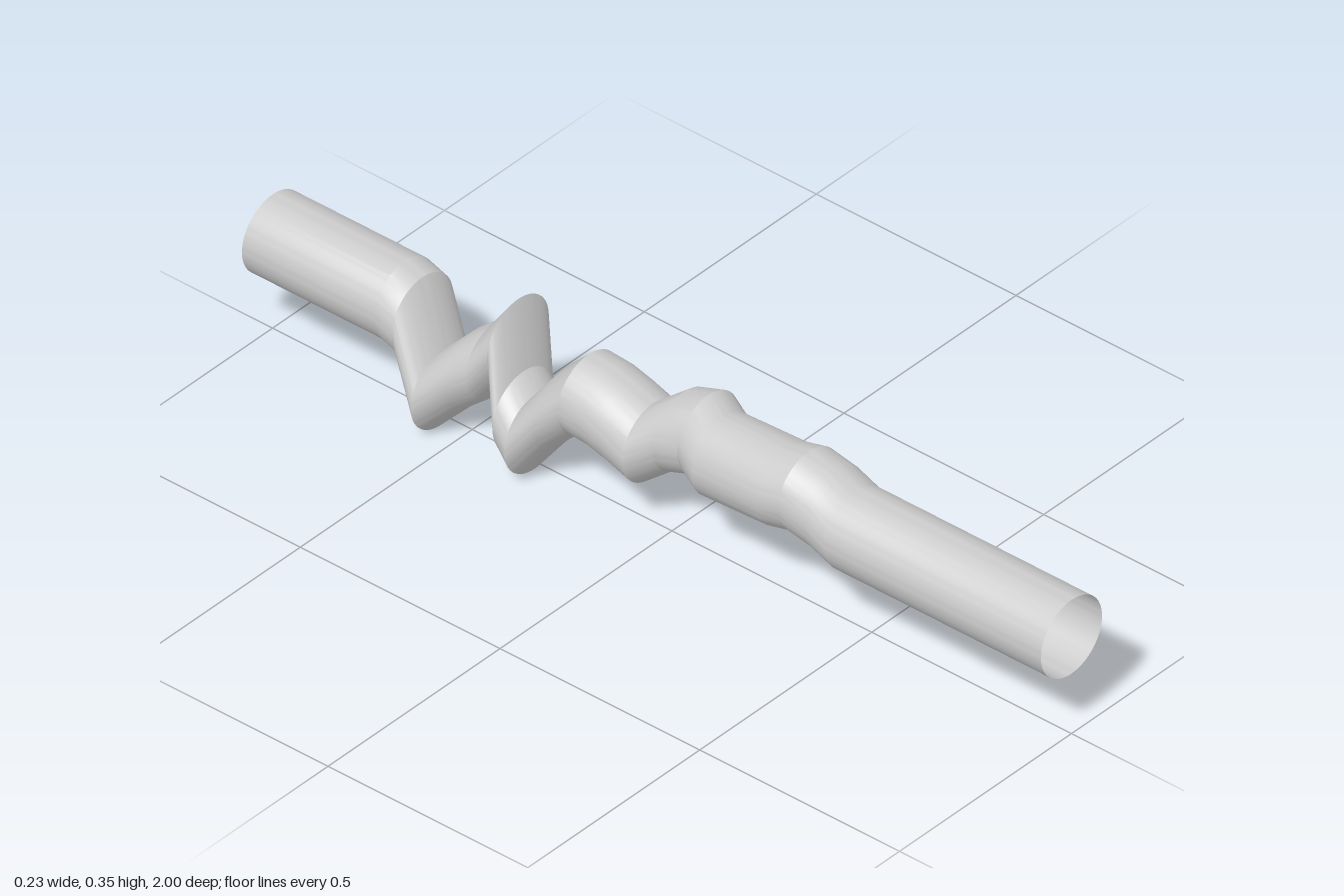
import * as THREE from 'three';
import { toCreasedNormals } from 'three/addons/utils/BufferGeometryUtils.js';

// Ring centres along the pipe: [z, x, y]
const PATH = [
  [1, 0, 0.231], [0.46, 0, 0.231], [0.4, 0.006, 0.248], [0.342, 0, 0.266],
  [0.29, -0.003, 0.255], [0.123, 0.002, 0.243], [0.07, 0.023, 0.256],
  [0.01, 0.021, 0.236], [-0.048, 0, 0.193], [-0.107, 0, 0.214],
  [-0.155, 0, 0.227], [-0.21, 0, 0.231], [-0.262, -0.006, 0.179],
  [-0.32, -0.027, 0.099], [-0.36, -0.015, 0.128], [-0.405, 0.023, 0.256],
  [-0.45, 0.01, 0.189], [-0.49, -0.002, 0.158], [-0.555, -0.026, 0.09],
  [-0.625, 0, 0.215], [-0.67, 0, 0.231], [-1, 0, 0.231],
];
const RX = 0.089, RY = 0.0865, SIDES = 64;

// Upright rings joined into an open tube, sheared rather than bent at each kink
function ringTube(path) {
  const position = [], index = [];
  for (const [z, x, y] of path) {
    for (let i = 0; i < SIDES; i++) {
      const a = (i / SIDES) * Math.PI * 2;
      position.push(x + RX * Math.cos(a), y + RY * Math.sin(a), z);
    }
  }
  for (let r = 0; r < path.length - 1; r++) {
    for (let i = 0; i < SIDES; i++) {
      const j = (i + 1) % SIDES;
      const a = r * SIDES + i, b = r * SIDES + j;
      const c = a + SIDES, d = b + SIDES;
      index.push(a, c, b, b, c, d);
    }
  }
  const geometry = new THREE.BufferGeometry();
  geometry.setAttribute('position', new THREE.Float32BufferAttribute(position, 3));
  geometry.setIndex(index);
  return toCreasedNormals(geometry, 0.3);
}

export function createModel() {
  const group = new THREE.Group();
  group.name = 'crumpledPipe';

  // Thin open wall, visible inside and out
  const material = new THREE.MeshStandardMaterial({ color: 0xcccccc, side: THREE.DoubleSide });
  const pipe = new THREE.Mesh(ringTube(PATH), material);
  pipe.name = 'pipeWall';
  group.add(pipe);
  return group;
}
